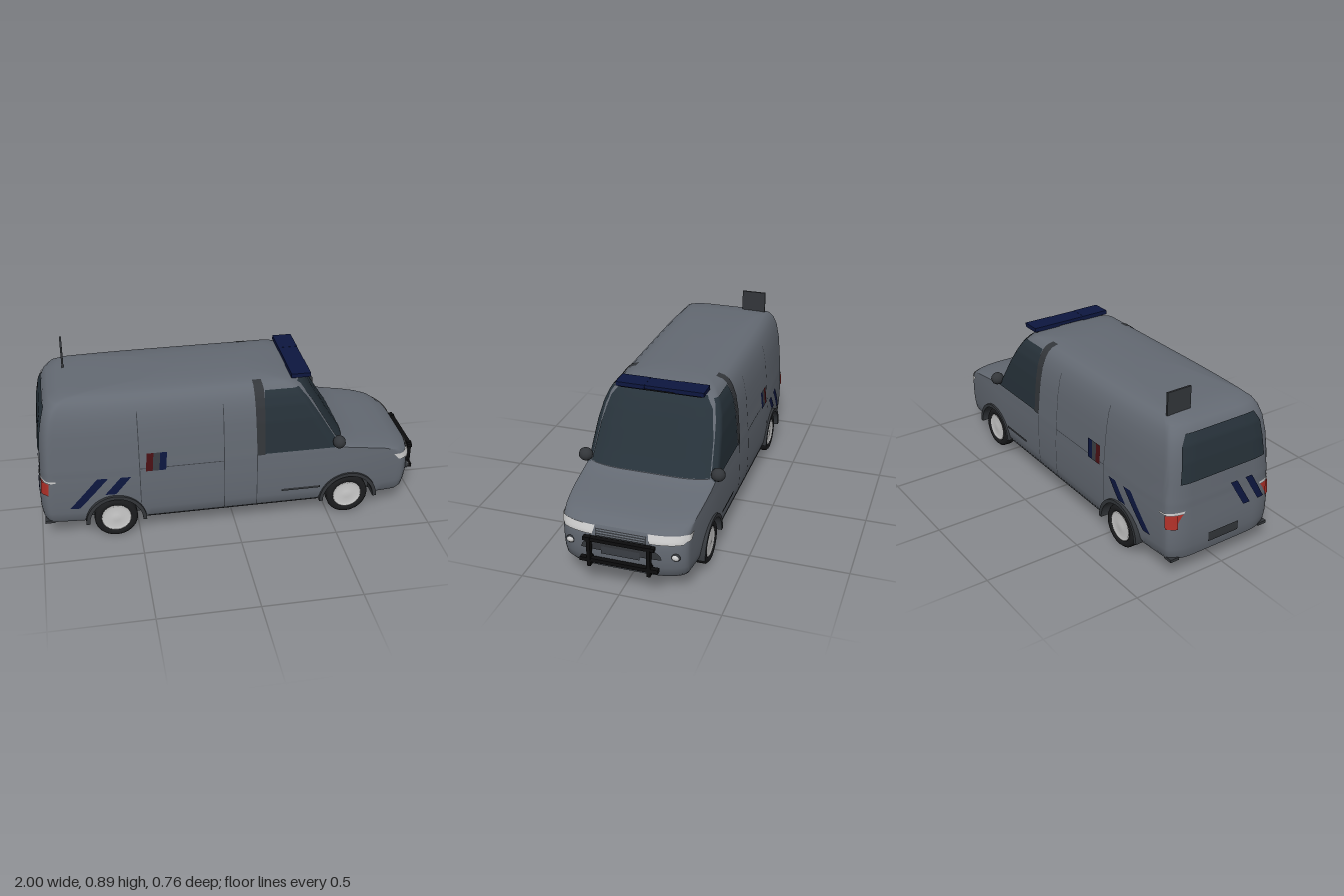
import * as THREE from 'three';
import { toCreasedNormals } from 'three/addons/utils/BufferGeometryUtils.js';

// Body outline by height: y, rear x, front x, half width
const ROWS = [
  [0.09, -0.965, 0.90, 0.28], [0.10, -0.985, 0.93, 0.315], [0.12, -0.99, 0.945, 0.328],
  [0.16, -0.995, 0.955, 0.333], [0.2, -0.995, 0.96, 0.335], [0.25, -0.995, 0.96, 0.336], [0.3, -0.99, 0.958, 0.336],
  [0.335, -0.988, 0.945, 0.335], [0.36, -0.986, 0.91, 0.334], [0.375, -0.985, 0.86, 0.333],
  [0.39, -0.985, 0.78, 0.333], [0.405, -0.984, 0.68, 0.332], [0.42, -0.983, 0.605, 0.331],
  [0.43, -0.982, 0.58, 0.33], [0.5, -0.98, 0.535, 0.325], [0.6, -0.97, 0.475, 0.316],
  [0.68, -0.955, 0.425, 0.302], [0.73, -0.935, 0.39, 0.284], [0.76, -0.91, 0.365, 0.265],
  [0.78, -0.86, 0.33, 0.24], [0.79, -0.76, 0.27, 0.2], [0.797, -0.5, 0.18, 0.13], [0.8, -0.3, 0.1, 0],
];
const AXLES = [-0.62, 0.6];
const ARCH_Y = 0.1, ARCH_R = 0.145;
const COLORS = {
  body: 0x646a73, glass: 0x27323a, trim: 0x33363a, black: 0x0c0c0d, tyre: 0x1c1d1f,
  blue: 0x0d1740, red: 0x4a1014, tail: 0xb03028, line: 0x3a3e44, floor: 0x303336,
};

function material(color, side = THREE.FrontSide) {
  return new THREE.MeshStandardMaterial({ color: COLORS[color] ?? 0xcccccc, side });
}

// Interpolates a table whose first column is y
function sample(rows, y) {
  let k = 1;
  while (k < rows.length - 1 && y > rows[k][0]) k++;
  const a = rows[k - 1], b = rows[k];
  const t = THREE.MathUtils.clamp((y - a[0]) / (b[0] - a[0]), 0, 1);
  return a.map((v, i) => v + (b[i] - v) * t);
}

// Plan taper towards tail and nose
const taper = x => x > 0.5 ? 1 - 0.1 * ((x - 0.5) / 0.46) ** 2
  : x < -0.4 ? 1 - 0.1 * ((-0.4 - x) / 0.6) ** 2 : 1;
const FRONT = { depth: 0.07, round: 0.2 }, REAR = { depth: 0.05, round: 0.12 };

// Half width of the body at x, y, with elliptical plan corners
function halfWidth(x, y) {
  const [, xb, xf, w0] = sample(ROWS, y);
  const end = x > 0 ? FRONT : REAR;
  const gap = Math.max(0, x > 0 ? xf - x : x - xb);
  const w = w0 * taper(x), r = Math.min(end.round, w * 0.6);
  const q = Math.max(0, 1 - gap / end.depth);
  return w - r + r * Math.sqrt(1 - q * q);
}

// x of the nose or windscreen (dir 1) or tail (dir -1) at z, y
function endX(z, y, dir) {
  const [, xb, xf, w0] = sample(ROWS, y);
  const xe = dir > 0 ? xf : xb, end = dir > 0 ? FRONT : REAR;
  const w = w0 * taper(xe - dir * 0.05), r = Math.min(end.round, w * 0.6);
  const q = THREE.MathUtils.clamp((Math.abs(z) - (w - r)) / r, 0, 1);
  return xe - dir * end.depth * (1 - Math.sqrt(1 - q * q));
}

function gridGeometry(nu, nv, point, wrap = false) {
  const pos = [], index = [], cols = wrap ? nu : nu + 1;
  for (let j = 0; j <= nv; j++) for (let i = 0; i < cols; i++) pos.push(...point(i, j));
  for (let j = 0; j < nv; j++) for (let i = 0; i < nu; i++) {
    const a = j * cols + i, b = j * cols + (i + 1) % cols;
    index.push(a, b, b + cols, a, b + cols, a + cols);
  }
  const g = new THREE.BufferGeometry();
  g.setAttribute('position', new THREE.Float32BufferAttribute(pos, 3));
  g.setIndex(index);
  g.computeVertexNormals();
  return g;
}

export function createModel() {
  const van = new THREE.Group();
  van.name = 'van';
  const add = (name, geometry, color, x = 0, y = 0, z = 0, side) => {
    const mesh = new THREE.Mesh(geometry, material(color, side));
    mesh.name = name;
    mesh.position.set(x, y, z);
    van.add(mesh);
    return mesh;
  };
  const box = (name, color, x, y, z, w, h, d) => add(name, new THREE.BoxGeometry(w, h, d), color, x, y, z);

  // Panels that follow the body; rows are [y, start, end]
  const panel = (name, color, rows, place) => {
    const y0 = rows[0][0], y1 = rows.at(-1)[0], nv = Math.max(2, Math.ceil((y1 - y0) / 0.01)), nu = 20;
    add(name, gridGeometry(nu, nv, (i, j) => {
      const [y, a, b] = sample(rows, y0 + (y1 - y0) * j / nv);
      return place(a + (b - a) * i / nu, y);
    }), color, 0, 0, 0, THREE.DoubleSide);
  };
  const sidePanel = (name, color, rows, lift = 0.004) => {
    for (const s of [1, -1]) panel(name, color, rows, (x, y) => [x, y, s * (halfWidth(x, y) + lift)]);
  };
  const endPanel = (name, color, rows, dir, lift = 0.005) =>
    panel(name, color, rows, (z, y) => [endX(z, y, dir) + dir * lift, y, z]);
  const bothEnds = (name, color, rows, dir, lift) => {
    for (const s of [1, -1]) endPanel(name, color, rows.map(([y, a, b]) => [y, s * a, s * b]), dir, lift);
  };

  // Body shell: stacked plan outlines, lower edge lifted over the wheels
  const CORNER = 9, SIDE = 80, N = CORNER * 2 + SIDE;
  const stationX = (k, xb, xf) => {
    const a = xb + REAR.depth, b = xf - FRONT.depth;
    if (k < CORNER) return a - REAR.depth * Math.cos(k / CORNER * Math.PI / 2);
    if (k > CORNER + SIDE) return b + FRONT.depth * Math.sin((k - CORNER - SIDE) / CORNER * Math.PI / 2);
    return a + (b - a) * (k - CORNER) / SIDE;
  };
  const archY = x => Math.max(0, ...AXLES.map(c =>
    Math.abs(x - c) < ARCH_R ? ARCH_Y + Math.sqrt(ARCH_R ** 2 - (x - c) ** 2) : 0));
  const shell = gridGeometry(2 * (N + 1), ROWS.length - 1, (i, j) => {
    const [y, xb, xf] = ROWS[j], right = i <= N;
    const x = stationX(right ? i : 2 * N + 1 - i, xb, xf);
    const lifted = Math.max(y, archY(x));
    return [x, lifted, (right ? 1 : -1) * halfWidth(x, lifted)];
  }, true);
  add('bodyShell', toCreasedNormals(shell, 0.55), 'body');

  // Floor, narrowed between the wheels
  add('floor', gridGeometry(N, 1, (i, j) => {
    const x = stationX(i, ROWS[0][1], ROWS[0][2]);
    return [x, 0.09, (j ? 1 : -1) * (archY(x) ? 0.25 : halfWidth(x, 0.09))];
  }).rotateX(0), 'floor', 0, 0, 0, THREE.DoubleSide);

  // Glass
  endPanel('windscreen', 'glass', [[0.435, -0.305, 0.305], [0.6, -0.29, 0.29], [0.72, -0.262, 0.262], [0.768, -0.225, 0.225]], 1, 0.006);
  sidePanel('cabWindow', 'glass', [[0.42, 0.15, 0.55], [0.5, 0.15, 0.5], [0.6, 0.15, 0.44], [0.7, 0.15, 0.375], [0.755, 0.155, 0.33]]);
  sidePanel('doorPillar', 'trim', [[0.415, 0.11, 0.15], [0.76, 0.1, 0.15], [0.788, 0.1, 0.145]], 0.005);
  endPanel('rearWindow', 'glass', [[0.5, -0.25, 0.25], [0.68, -0.23, 0.23], [0.73, -0.2, 0.2]], -1);

  // Side seams, mouldings and stripes
  for (const [x, y0, y1] of [[-0.49, 0.2, 0.71], [-0.06, 0.11, 0.71], [0.11, 0.11, 0.42]])
    sidePanel('doorSeam', 'line', [[y0, x - 0.002, x + 0.002], [y1, x - 0.002, x + 0.002]], 0.002);
  sidePanel('slidingRail', 'line', [[0.398, -0.49, -0.06], [0.402, -0.49, -0.06]], 0.002);
  sidePanel('sideMoulding', 'trim', [[0.185, 0.24, 0.445], [0.198, 0.24, 0.445]], 0.006);
  sidePanel('sill', 'trim', [[0.092, -0.46, 0.44], [0.115, -0.46, 0.44]]);
  sidePanel('rearStripe', 'blue', [[0.19, -0.85, -0.80], [0.36, -0.705, -0.65]]);
  sidePanel('rearStripe', 'blue', [[0.265, -0.67, -0.615], [0.36, -0.588, -0.535]]);
  ['red', 'line', 'blue'].forEach((c, i) => {
    const x = -0.46 + i * 0.034;
    sidePanel('colourBand', c, [[0.385, x, x + 0.034], [0.485, x + 0.008, x + 0.042]]);
  });

  // Tail: lamps, stripes, plate recess and bumper step
  sidePanel('tailLamp', 'tail', [[0.275, -0.978, -0.95], [0.345, -0.984, -0.945]], 0.006);
  sidePanel('tailLampStrip', 'light', [[0.348, -0.984, -0.91], [0.358, -0.984, -0.91]], 0.006);
  bothEnds('tailLamp', 'tail', [[0.275, 0.265, 0.295], [0.345, 0.265, 0.295]], -1, 0.006);
  for (const z of [0.04, 0.13])
    endPanel('tailStripe', 'blue', [[0.28, z + 0.08, z + 0.12], [0.42, z, z + 0.04]], -1);
  endPanel('rearPlate', 'trim', [[0.15, -0.09, 0.09], [0.2, -0.09, 0.09]], -1);
  for (const s of [1, -1]) box('bumperStep', 'trim', -0.955, 0.105, s * 0.27, 0.05, 0.015, 0.05);

  // Nose: headlamps, grille, intake, fog lamps
  bothEnds('headlamp', 'light', [[0.29, 0.14, 0.295], [0.31, 0.135, 0.305], [0.334, 0.13, 0.3]], 1);
  sidePanel('headlampSide', 'light', [[0.3, 0.875, 0.945], [0.332, 0.845, 0.93]], 0.005);
  endPanel('grille', 'trim', [[0.285, -0.125, 0.125], [0.322, -0.125, 0.125]], 1);
  for (const y of [0.292, 0.303, 0.314])
    endPanel('grilleBar', 'body', [[y, -0.12, 0.12], [y + 0.005, -0.12, 0.12]], 1, 0.008);
  endPanel('lowerIntake', 'trim', [[0.21, -0.2, 0.2], [0.235, -0.19, 0.19], [0.255, -0.165, 0.165]], 1);
  endPanel('frontPlate', 'line', [[0.195, -0.095, 0.095], [0.235, -0.095, 0.095]], 1, 0.009);
  for (const s of [1, -1]) for (const [r, c, out] of [[0.023, 'trim', 0], [0.018, 'light', 0.004]]) {
    const lamp = add('fogLamp', new THREE.SphereGeometry(1, 16, 10), c, endX(0.26, 0.225, 1) + out, 0.225, s * 0.26);
    lamp.scale.set(0.012, r * 0.85, r);
  }

  // Bull bar
  box('bullBarTop', 'black', 0.985, 0.28, 0, 0.025, 0.018, 0.35);
  box('bullBarBottom', 'black', 0.985, 0.167, 0, 0.025, 0.02, 0.385);
  for (const s of [1, -1]) {
    box('bullBarPost', 'black', 0.987, 0.213, s * 0.147, 0.026, 0.157, 0.018);
    box('bullBarBracket', 'black', 0.96, 0.167, s * 0.147, 0.05, 0.016, 0.016);
  }

  // Roof light bar and rear roof plate
  box('lightBarBase', 'black', 0.35, 0.784, 0, 0.08, 0.014, 0.42);
  for (const s of [1, -1]) box('lightBarLens', 'blue', 0.35, 0.796, s * 0.152, 0.1, 0.022, 0.15);
  box('lightBarCentre', 'blue', 0.35, 0.797, 0, 0.098, 0.018, 0.16);
  box('roofPlate', 'trim', -0.825, 0.838, -0.157, 0.01, 0.115, 0.133);

  // Door mirrors
  for (const s of [1, -1]) {
    const mirror = add('doorMirror', new THREE.SphereGeometry(1, 12, 8), 'trim', 0.535, 0.455, s * 0.342);
    mirror.scale.set(0.033, 0.034, 0.036);
  }

  // Wheel arch linings and wheels
  const lip = new THREE.Shape();
  lip.absarc(0, 0, 0.155, 0, Math.PI, false);
  lip.absarc(0, 0, 0.136, Math.PI, 0, true);
  const archGeo = new THREE.ExtrudeGeometry(lip, { depth: 0.093, bevelEnabled: false, curveSegments: 24 });
  const profile = pts => pts.map(p => new THREE.Vector2(...p));
  const tyreGeo = new THREE.LatheGeometry(profile([[0.07, -0.034], [0.1, -0.034], [0.111, -0.022],
    [0.111, 0.022], [0.1, 0.034], [0.08, 0.034], [0.074, 0.024]]), 24).rotateX(Math.PI / 2);
  const hubGeo = new THREE.LatheGeometry(profile([[0, -0.03], [0.074, -0.03], [0.078, 0.028],
    [0.07, 0.032], [0.06, 0.024], [0.02, 0.03], [0, 0.03]]), 24).rotateX(Math.PI / 2);
  for (const x of AXLES) for (const s of [1, -1]) {
    add('wheelArch', archGeo, 'trim', x, ARCH_Y, s > 0 ? 0.252 : -0.345);
    const tyre = add('tyre', tyreGeo, 'tyre', x, 0.113, s * 0.296, THREE.DoubleSide);
    const hub = add('wheelHub', hubGeo, 'light', x, 0.113, s * 0.296, THREE.DoubleSide);
    if (s < 0) tyre.rotation.y = hub.rotation.y = Math.PI;
  }
  return van;
}
